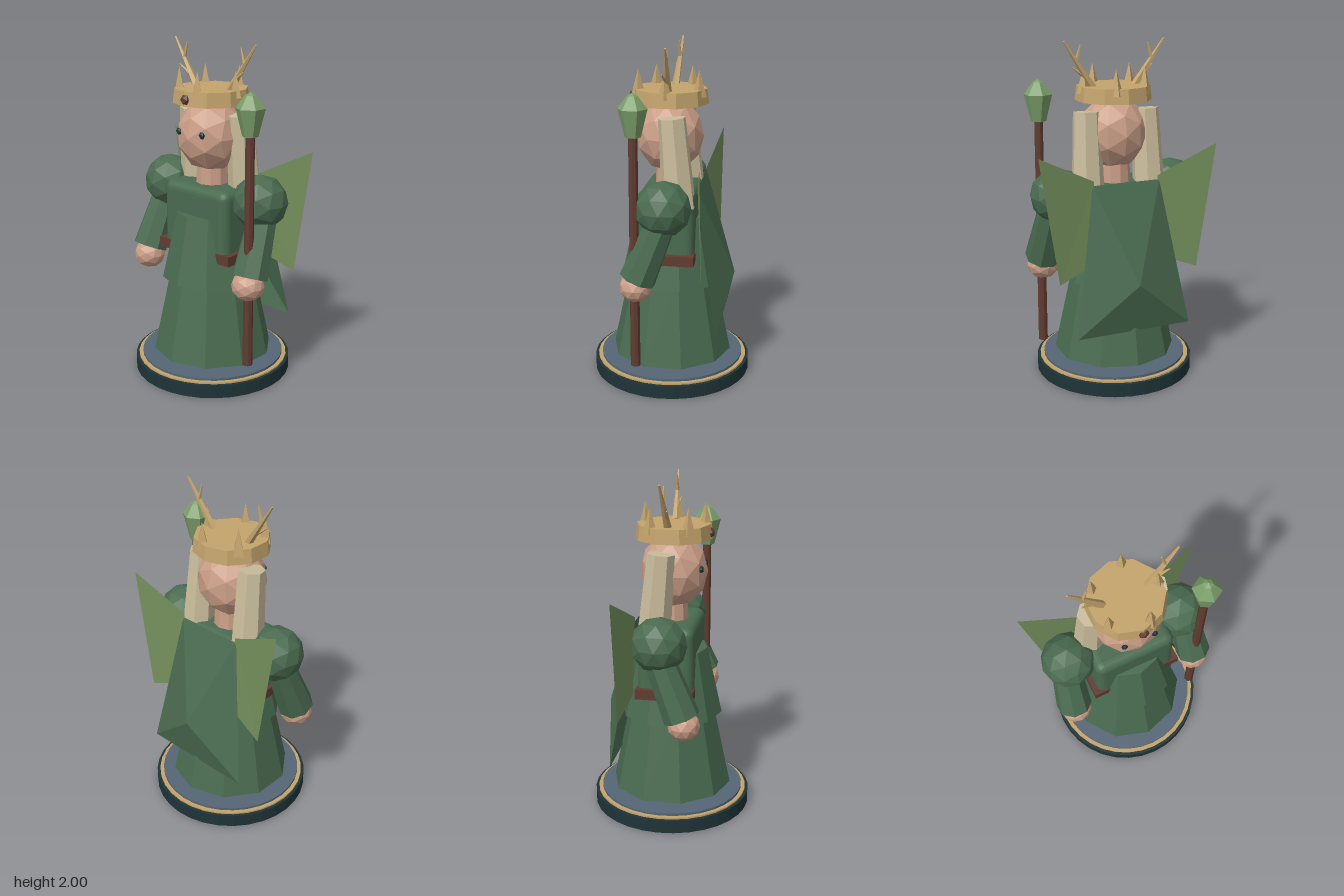
import * as THREE from 'three';
import { RoundedBoxGeometry } from 'three/addons/geometries/RoundedBoxGeometry.js';

const mat = (name, color, side = THREE.FrontSide) => {
  const m = new THREE.MeshStandardMaterial({ color, flatShading: true, side });
  m.name = name;
  return m;
};

export function createModel() {
  const model = new THREE.Group();
  model.name = 'forestRuler';

  const robe = mat('robeGreen', 0x4a6b50);
  const capeGreen = mat('capeGreen', 0x4a6b50, THREE.DoubleSide);
  const leaf = mat('leafGreen', 0x748f5c, THREE.DoubleSide);
  const bud = mat('budGreen', 0x7c9f6a);
  const skin = mat('skin', 0xcb9f88);
  const blond = mat('paleHair', 0xcabd9c);
  const gold = mat('gold', 0xc4a46c);
  const brown = mat('brown', 0x613c32);
  const slate = mat('slate', 0x566676);
  const dark = mat('darkTeal', 0x1f3438);

  const add = (name, geometry, material, x = 0, y = 0, z = 0, parent = model) => {
    const mesh = new THREE.Mesh(geometry, material);
    mesh.name = name;
    mesh.position.set(x, y, z);
    parent.add(mesh);
    return mesh;
  };

  // Upright tapered cylinder between two heights
  const column = (name, material, rTop, rBottom, y0, y1, sides, x = 0, z = 0) =>
    add(name, new THREE.CylinderGeometry(rTop, rBottom, y1 - y0, sides), material, x, (y0 + y1) / 2, z);

  // Tapered cylinder between two points
  const limb = (name, material, from, to, rFrom, rTo, sides) => {
    const a = new THREE.Vector3(...from), b = new THREE.Vector3(...to);
    const dir = b.clone().sub(a);
    const mesh = add(name, new THREE.CylinderGeometry(rTo, rFrom, dir.length(), sides), material);
    mesh.position.copy(a).add(b).multiplyScalar(0.5);
    mesh.quaternion.setFromUnitVectors(new THREE.Vector3(0, 1, 0), dir.normalize());
    return mesh;
  };

  // Faceted ball
  const ball = (name, material, x, y, z, rx, ry = rx, rz = rx, detail = 1) => {
    const mesh = add(name, new THREE.IcosahedronGeometry(1, detail), material, x, y, z);
    mesh.scale.set(rx, ry, rz);
    return mesh;
  };

  // Triangles from a few corner points
  const facets = (name, material, points, index) => {
    const g = new THREE.BufferGeometry();
    g.setAttribute('position', new THREE.Float32BufferAttribute(points.flat(), 3));
    g.setIndex(index);
    const flat = g.toNonIndexed();
    flat.computeVertexNormals();
    return add(name, flat, material);
  };

  // Round stand
  column('standBase', dark, 0.475, 0.475, 0, 0.08, 32);
  column('standTrim', gold, 0.457, 0.457, 0.08, 0.09, 32);
  column('standTop', slate, 0.433, 0.433, 0.09, 0.105, 32);

  // Robe, belt and torso
  column('skirt', robe, 0.25, 0.363, 0.13, 0.66, 10);
  column('overskirt', robe, 0.215, 0.305, 0.595, 1.0, 10);
  add('torso', new RoundedBoxGeometry(0.5, 0.43, 0.33, 3, 0.05), robe, 0, 0.963, 0);
  add('belt', new THREE.BoxGeometry(0.56, 0.06, 0.34), brown, 0, 0.78, 0);

  // Cape: four facets rising to a ridge point
  facets('cape', capeGreen, [
    [0.21, 1.2, -0.18], [-0.21, 1.2, -0.18], [-0.355, 0.334, -0.31], [0.355, 0.334, -0.31], [0, 0.638, -0.382],
  ], [0, 1, 4, 1, 2, 4, 2, 3, 4, 3, 0, 4]);

  // Head, neck and crown
  column('neck', skin, 0.09, 0.1, 1.15, 1.32, 10);
  ball('head', skin, 0, 1.465, 0.012, 0.205, 0.22, 0.2);
  column('crownBand', gold, 0.215, 0.225, 1.655, 1.74, 10, 0, 0.01);
  for (let i = 0; i < 5; i++) {
    const a = (i * Math.PI * 2) / 5;
    column('crownSpike', gold, 0, 0.042, 1.7, 1.855, 4, 0.185 * Math.cos(a), 0.01 + 0.185 * Math.sin(a));
  }
  ball('crownJewel', brown, 0, 1.692, 0.225, 0.032, 0.032, 0.025, 0);

  for (const s of [-1, 1]) {
    ball('eye', dark, s * 0.09, 1.495, 0.185, 0.02, 0.023, 0.015, 0);
    limb('hairLock', blond, [s * 0.195, 1.08, -0.075], [s * 0.185, 1.6, -0.03], 0.1, 0.08, 7);

    // Antler with one twig
    limb('antler', gold, [s * 0.13, 1.73, 0], [s * 0.31, 2.0, -0.015], 0.024, 0.006, 5);
    limb('antlerTwig', gold, [s * 0.235, 1.88, -0.008], [s * 0.208, 1.98, -0.008], 0.012, 0.004, 5);
    limb('antlerTwig', gold, [s * 0.17, 1.79, 0], [s * 0.25, 1.85, 0.015], 0.013, 0.004, 5);

    // Arm
    ball('shoulderPuff', robe, s * 0.36, 1.12, -0.01, 0.162);
    limb('sleeve', robe, [s * 0.385, 1.06, -0.01], [s * 0.41, 0.71, 0.13], 0.085, 0.108, 8);
    ball('hand', skin, s * 0.405, 0.663, 0.14, 0.098, 0.088, 0.095);

    // Leaf wing
    facets('leafWing', leaf, [
      [s * 0.2, 1.225, -0.18], [s * 0.55, 1.4, -0.24], [s * 0.435, 0.655, -0.24], [s * 0.2, 0.74, -0.2],
    ], [0, 1, 2, 0, 2, 3]);

    ball('shoe', brown, s * 0.155, 0.125, 0.03, 0.1, 0.04, 0.2);
  }

  // Staff with a bud on top
  column('staffShaft', brown, 0.026, 0.029, 0.175, 1.55, 8, 0.413, 0.145);
  const profile = [[0, 1.522], [0.045, 1.535], [0.083, 1.69], [0.03, 1.76], [0, 1.777]];
  add('staffBud', new THREE.LatheGeometry(profile.map(([r, y]) => new THREE.Vector2(r, y)), 6),
    bud, 0.413, 0, 0.145);

  return model;
}
